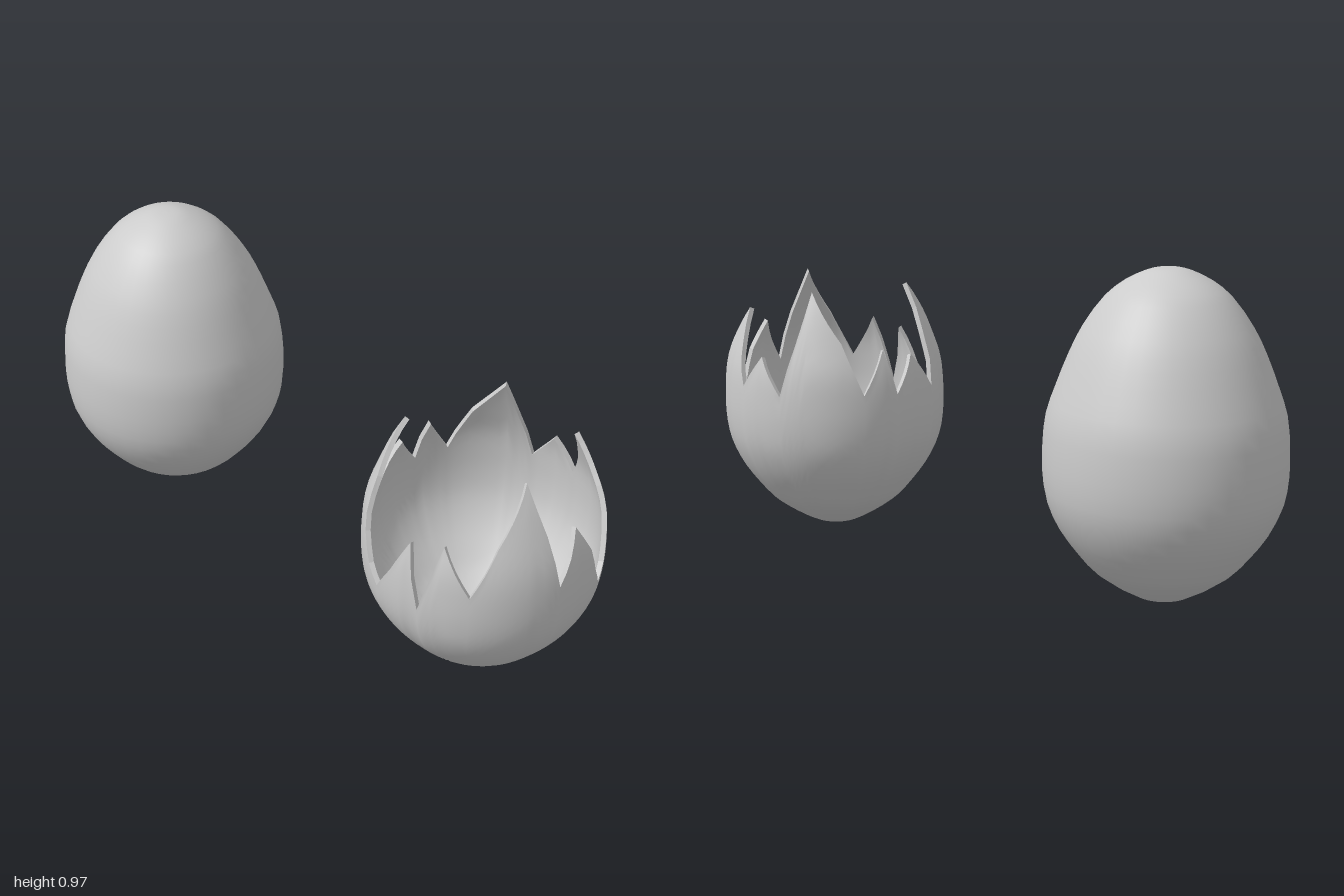
import * as THREE from 'three';
import { mergeVertices } from 'three/addons/utils/BufferGeometryUtils.js';

const THICKNESS = 0.015;
const SPACING = 0.645;

// Egg outline from bottom to top: radius, height
const profile = new THREE.CatmullRomCurve3([
  [0, 0], [0.035, 0.002], [0.08, 0.015], [0.2, 0.09], [0.255, 0.15], [0.305, 0.22],
  [0.34, 0.3], [0.352, 0.38], [0.352, 0.46], [0.343, 0.55], [0.315, 0.635],
  [0.28, 0.725], [0.243, 0.8], [0.18, 0.888], [0.126, 0.932], [0.07, 0.96], [0.035, 0.97], [0, 0.972],
].map(([r, y]) => new THREE.Vector3(r, y, 0)));

// Broken rim: angle in degrees (0 = front, 90 = left side), height
const rim = [
  [-180, 0.6], [-166, 0.485], [-159, 0.65], [-152.4, 0.8], [-132.6, 0.65], [-121.7, 0.49],
  [-108.5, 0.625], [-103, 0.485], [-90, 0.6], [-76, 0.485], [-71, 0.65], [-63.5, 0.8],
  [-45, 0.65], [-35, 0.5], [-27, 0.42], [-19, 0.375], [-9, 0.48], [0, 0.6],
  [8, 0.395], [18.3, 0.625], [32.7, 0.485], [45.3, 0.64], [63.5, 0.8], [71.2, 0.65],
  [76, 0.485], [90, 0.635], [98, 0.54], [103, 0.44], [109, 0.37], [116, 0.41],
  [124.6, 0.5], [134.7, 0.6], [152, 0.73], [168.5, 0.5], [180, 0.6],
];

// Curve parameter at which the profile reaches a height
function paramAt(y) {
  let lo = 0, hi = 1;
  for (let i = 0; i < 30; i++) {
    const mid = (lo + hi) / 2;
    if (profile.getPoint(mid).y < y) lo = mid; else hi = mid;
  }
  return lo;
}

// Point on the shell wall, moved inward by a distance
function wallPoint(t, angle, inset) {
  const p = profile.getPoint(t);
  const d = profile.getTangent(t);
  const r = t === 0 ? 0 : Math.max(0, p.x - d.y * inset);
  const y = p.y + (t === 0 ? 1 : d.x) * inset;
  return [r * Math.sin(angle), y, r * Math.cos(angle)];
}

// Grid of columns and rows, closed around the columns
function loopSurface(columns, flip) {
  const rows = columns[0].length;
  const index = [];
  columns.forEach((_, i) => {
    const a = i * rows, b = ((i + 1) % columns.length) * rows;
    for (let j = 0; j < rows - 1; j++) {
      const quad = [a + j, b + j, b + j + 1, a + j, b + j + 1, a + j + 1];
      index.push(...(flip ? quad.reverse() : quad));
    }
  });
  const geometry = new THREE.BufferGeometry();
  geometry.setAttribute('position', new THREE.Float32BufferAttribute(columns.flat(2), 3));
  geometry.setIndex(index);
  return geometry;
}

function smooth(geometry) {
  const merged = mergeVertices(geometry, 1e-5);
  merged.computeVertexNormals();
  return merged;
}

function flat(geometry) {
  const split = geometry.toNonIndexed();
  split.computeVertexNormals();
  return split;
}

function createBrokenShell(material) {
  // Columns of the wall, each ending at the jagged rim
  const columns = [];
  for (let k = 0; k < rim.length - 1; k++) {
    const [a0, y0] = rim[k], [a1, y1] = rim[k + 1];
    const steps = Math.ceil((a1 - a0) / 4);
    for (let s = 0; s < steps; s++) {
      const f = s / steps;
      columns.push({
        angle: THREE.MathUtils.degToRad(a0 + (a1 - a0) * f),
        top: paramAt(y0 + (y1 - y0) * f),
      });
    }
  }
  const rows = 24;
  const wall = (inset) => columns.map(({ angle, top }) =>
    Array.from({ length: rows + 1 }, (_, j) => wallPoint(top * j / rows, angle, inset)));
  const outer = wall(0), inner = wall(THICKNESS);
  const edge = outer.map((column, i) => [column[rows], inner[i][rows]]);

  const shell = new THREE.Group();
  shell.name = 'brokenShell';
  const parts = {
    shellOutside: smooth(loopSurface(outer, false)),
    shellInside: smooth(loopSurface(inner, true)),
    jaggedRim: flat(loopSurface(edge, false)),
  };
  for (const [name, geometry] of Object.entries(parts)) {
    const mesh = new THREE.Mesh(geometry, material);
    mesh.name = name;
    shell.add(mesh);
  }
  return shell;
}

export function createModel() {
  const group = new THREE.Group();
  group.name = 'eggs';
  const material = new THREE.MeshStandardMaterial({ color: 0xcccccc });

  // Whole egg
  const outline = profile.getPoints(34).map((p) => new THREE.Vector2(Math.max(0, p.x), p.y));
  const egg = new THREE.Mesh(new THREE.LatheGeometry(outline, 40), material);
  egg.name = 'wholeEgg';
  egg.position.x = -SPACING;
  group.add(egg);

  // Hatched shell
  const shell = createBrokenShell(material);
  shell.position.x = SPACING;
  group.add(shell);

  return group;
}
